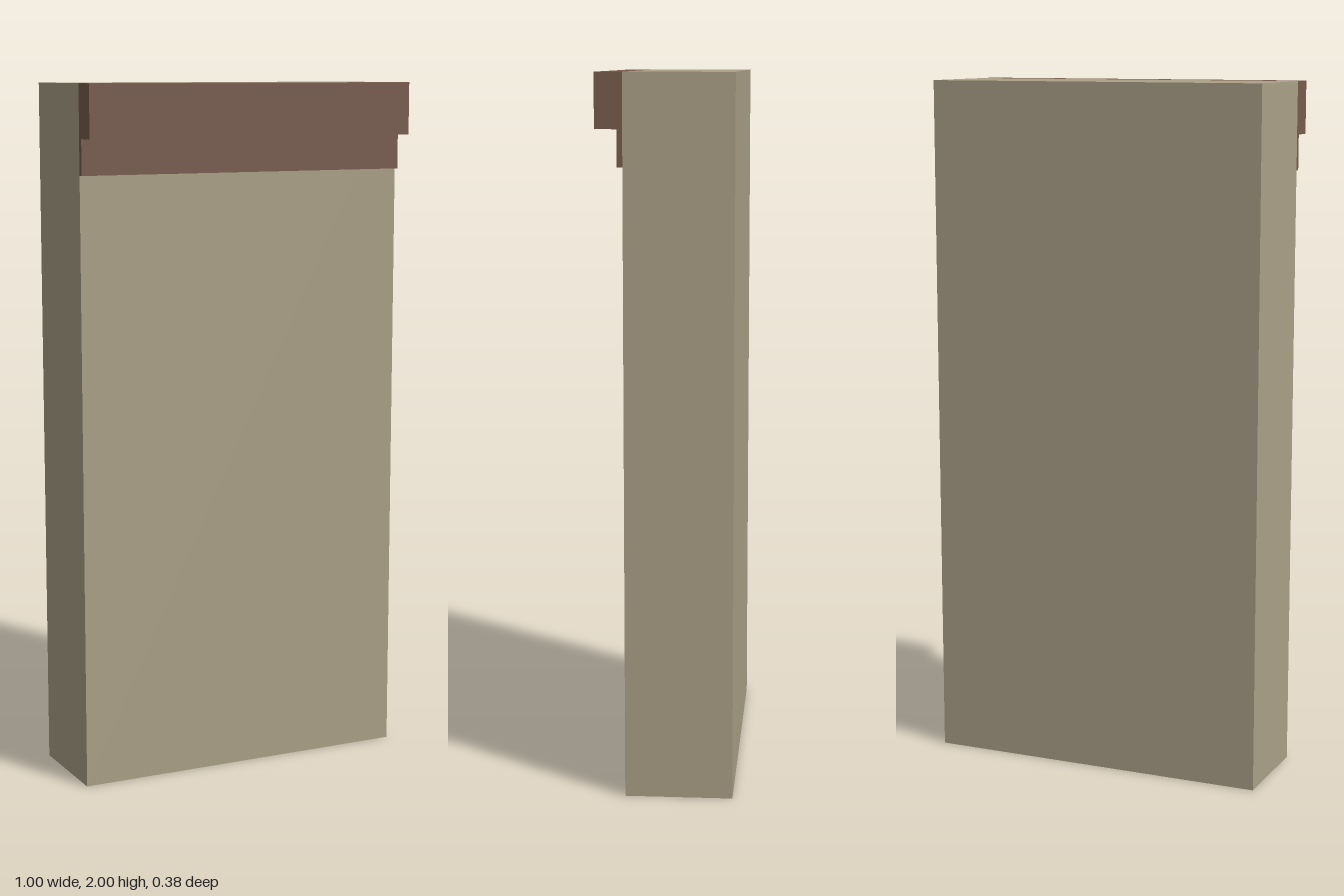
import * as THREE from 'three';

export function createModel() {
  const group = new THREE.Group();
  const plaster = new THREE.MeshStandardMaterial({ color: 0xaca188 });
  plaster.name = 'plaster';
  const wood = new THREE.MeshStandardMaterial({ color: 0x785c4e });
  wood.name = 'brownWood';

  const width = 1;

  // Full-width box spanning the given heights and depths
  function slab(name, y0, y1, z0, z1, material) {
    const mesh = new THREE.Mesh(new THREE.BoxGeometry(width, y1 - y0, z1 - z0), material);
    mesh.position.set(0, (y0 + y1) / 2, (z0 + z1) / 2);
    mesh.name = name;
    group.add(mesh);
  }

  // Wall panel
  slab('wall', 0, 2, -0.1875, 0.1125, plaster);
  // Projecting top moulding and the thin band below it
  slab('corniceMoulding', 1.85, 2, 0.1125, 0.1875, wood);
  slab('corniceBand', 1.75, 1.85, 0.1125, 0.1275, wood);

  return group;
}
